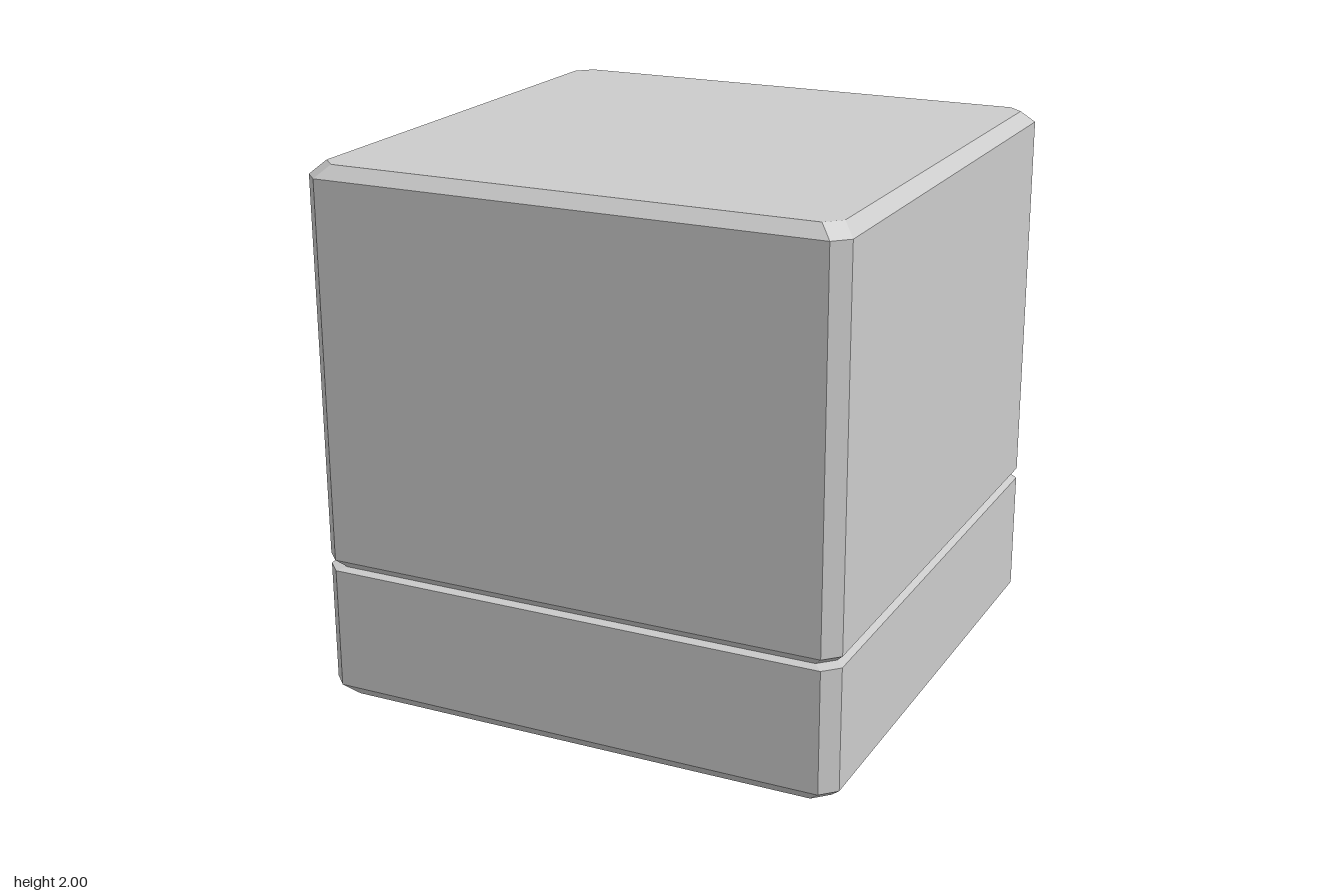
import * as THREE from 'three';

const CUT = 0.055; // width of the bevel on the vertical edges

// Square with clipped corners at height y, counter-clockwise seen from above
function section([y, half]) {
  const c = half - CUT;
  return [
    [half, c], [half, -c], [c, -half], [-c, -half],
    [-half, -c], [-half, c], [-c, half], [c, half],
  ].map(([x, z]) => [x, y, z]);
}

// Loft through the sections from bottom to top, with optional end caps
function loft(profile, capBottom, capTop) {
  const rings = profile.map(section);
  const n = rings[0].length;
  const pos = [];
  const tri = (a, b, c) => pos.push(...a, ...b, ...c);
  for (let r = 0; r < rings.length - 1; r++) {
    for (let i = 0; i < n; i++) {
      const j = (i + 1) % n;
      const [a, b, c, d] = [rings[r][i], rings[r][j], rings[r + 1][j], rings[r + 1][i]];
      tri(a, b, c);
      tri(a, c, d);
    }
  }
  const bottom = rings[0], top = rings[rings.length - 1];
  for (let i = 1; i < n - 1; i++) {
    if (capBottom) tri(bottom[0], bottom[i + 1], bottom[i]);
    if (capTop) tri(top[0], top[i], top[i + 1]);
  }
  const geo = new THREE.BufferGeometry();
  geo.setAttribute('position', new THREE.Float32BufferAttribute(pos, 3));
  geo.computeVertexNormals();
  return geo;
}

export function createModel() {
  const group = new THREE.Group();
  group.name = 'bevelledBlock';
  const material = new THREE.MeshStandardMaterial({ color: 0xcccccc, flatShading: true });
  const add = (name, geometry) => {
    const mesh = new THREE.Mesh(geometry, material);
    mesh.name = name;
    group.add(mesh);
  };

  // Low base with a bevelled foot and a slightly sloped rim
  add('base', loft([[0, 0.955], [0.047, 1], [0.504, 1], [0.513, 0.97]], true, false));

  // Tall upper block, bevelled above and at the groove
  add('upperBlock', loft([[0.513, 0.97], [0.545, 1], [1.955, 1], [2, 0.955]], false, true));

  return group;
}
